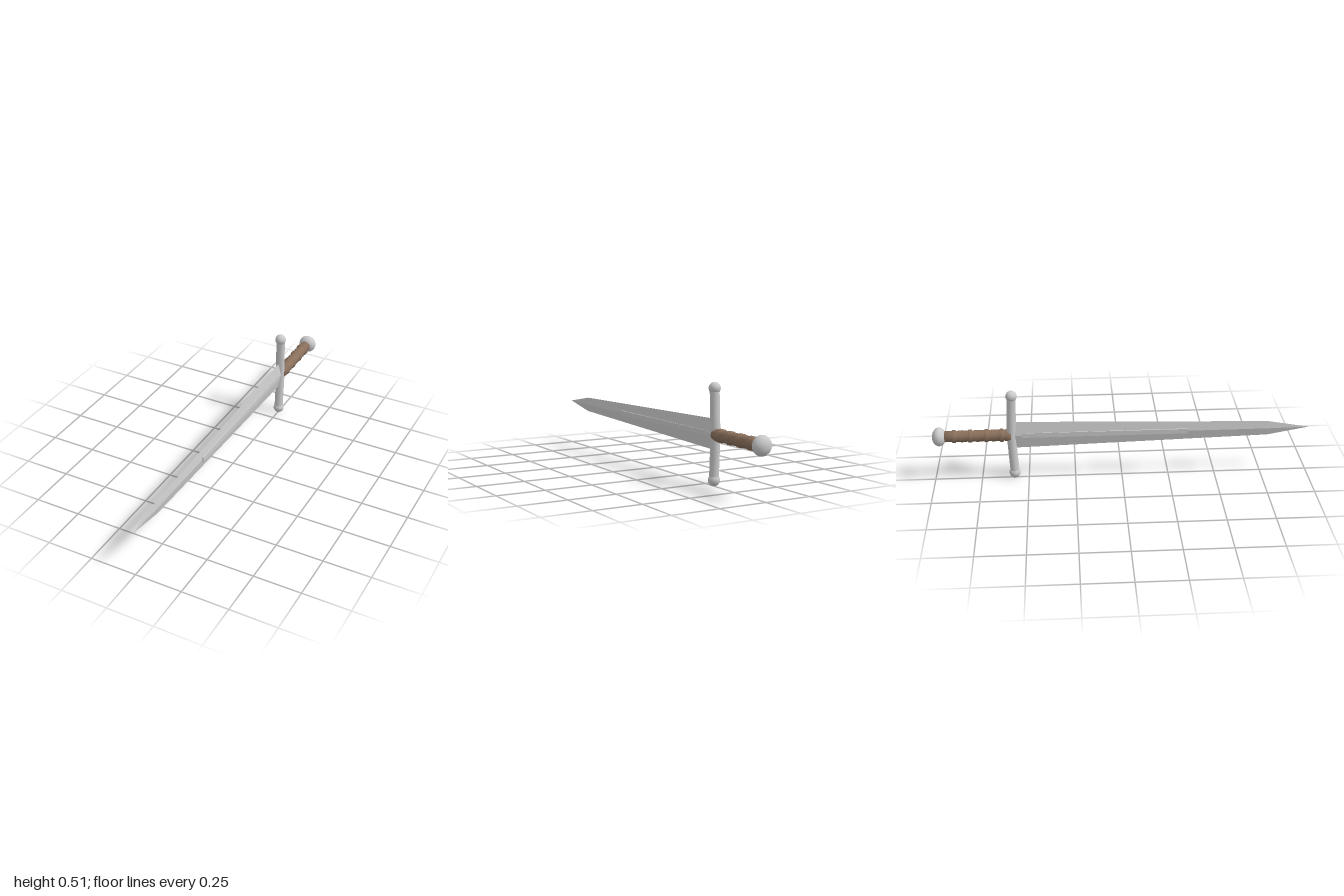
import * as THREE from 'three';

const CY = 0.255; // height of the sword's long axis
const GUARD_Z = -0.575;

export function createModel() {
  const sword = new THREE.Group();
  sword.name = 'sword';
  const steel = new THREE.MeshStandardMaterial({ color: 0xcccccc });
  const bladeSteel = new THREE.MeshStandardMaterial({ color: 0xcccccc, flatShading: true });
  const leather = new THREE.MeshStandardMaterial({ color: 0x8a705c });

  const add = (name, geometry, material, y = CY, z = 0) => {
    const mesh = new THREE.Mesh(geometry, material);
    mesh.name = name;
    mesh.position.set(0, y, z);
    sword.add(mesh);
    return mesh;
  };

  // Blade: diamond cross-sections [z, half thickness, half width]
  add('blade', diamondLoft([
    [-0.59, 0.0135, 0.077],
    [0.78, 0.007, 0.04],
    [1.0, 0.0003, 0.0005],
  ]), bladeSteel);

  // Raised central rib on both faces of the blade
  add('bladeRib', new THREE.BoxGeometry(0.027, 0.026, 0.88), bladeSteel, CY, -0.09);

  // Crossguard: round bar whose ends sweep slightly toward the tip
  const bar = new THREE.CylinderGeometry(0.024, 0.024, 0.43, 12, 4);
  const p = bar.attributes.position;
  for (let i = 0; i < p.count; i++) {
    p.setZ(i, p.getZ(i) - 0.01 * (1 - Math.abs(p.getY(i)) / 0.215));
  }
  bar.computeVertexNormals();
  add('crossguard', bar, steel, CY, GUARD_Z);
  for (const side of [-1, 1]) {
    add('guardKnob', new THREE.SphereGeometry(0.03, 12, 8), steel, CY + side * 0.225, GUARD_Z);
  }

  // Grip: swelling sections separated by raised rings
  const profile = [[0, -0.94], [0.029, -0.94]];
  const rings = [-0.885, -0.8, -0.715, -0.635];
  rings.forEach((z, i) => {
    const next = rings[i + 1] ?? -0.58;
    profile.push([0.029, z - 0.012], [0.035, z - 0.008], [0.035, z + 0.008], [0.029, z + 0.012]);
    profile.push([0.032, (z + next) / 2]);
  });
  profile.push([0.029, -0.585], [0, -0.585]);
  const grip = new THREE.LatheGeometry(profile.map(([r, z]) => new THREE.Vector2(r, z)), 12);
  grip.rotateX(Math.PI / 2);
  add('grip', grip, leather);

  // Flattened pommel
  const pommel = new THREE.SphereGeometry(0.05, 16, 12);
  pommel.rotateX(Math.PI / 2);
  pommel.scale(1, 1, 0.74);
  add('pommel', pommel, steel, CY, -0.963);

  return sword;
}

// Joins diamond sections along z and closes both ends
function diamondLoft(sections) {
  const points = [];
  const index = [];
  for (const [z, t, w] of sections) points.push(t, 0, z, 0, w, z, -t, 0, z, 0, -w, z);
  for (let s = 0; s < sections.length - 1; s++) {
    for (let k = 0; k < 4; k++) {
      const a = s * 4 + k;
      const b = s * 4 + ((k + 1) % 4);
      index.push(a, b, b + 4, a, b + 4, a + 4);
    }
  }
  const e = (sections.length - 1) * 4;
  index.push(0, 2, 1, 0, 3, 2, e, e + 1, e + 2, e, e + 2, e + 3);
  const geometry = new THREE.BufferGeometry();
  geometry.setAttribute('position', new THREE.Float32BufferAttribute(points, 3));
  geometry.setIndex(index);
  geometry.computeVertexNormals();
  return geometry;
}
